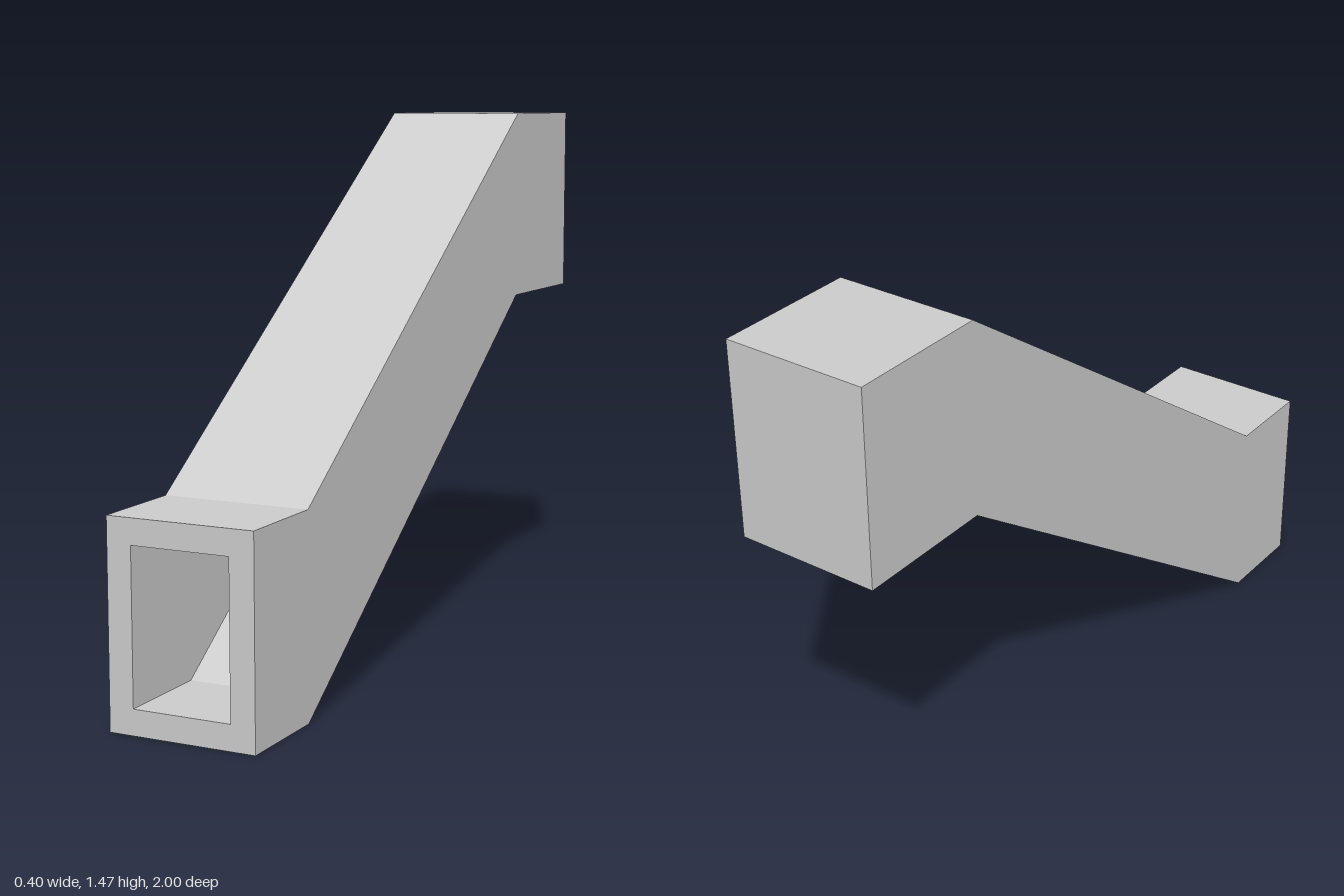
import * as THREE from 'three';

const WALL = 0.0667, HALF_WIDTH = 0.2, HEIGHT = 0.5333, RISE = 0.9333;

// Rectangular cross-section of the duct, counter-clockwise seen from the front
function ring(z, floor, inset) {
  const w = HALF_WIDTH - inset, y0 = floor + inset, y1 = floor + HEIGHT - inset;
  return [[-w, y0, z], [w, y0, z], [w, y1, z], [-w, y1, z]];
}

// Skin consecutive rings with flat quads and close both ends
function loft(rings) {
  const positions = [];
  const quad = (a, b, c, d) => positions.push(...a, ...b, ...c, ...a, ...c, ...d);
  for (let i = 0; i < rings.length - 1; i++) {
    for (let k = 0; k < 4; k++) {
      const n = (k + 1) % 4;
      quad(rings[i][k], rings[i][n], rings[i + 1][n], rings[i + 1][k]);
    }
  }
  const first = rings[0], last = rings[rings.length - 1];
  quad(first[0], first[3], first[2], first[1]);
  quad(...last);
  const geometry = new THREE.BufferGeometry();
  geometry.setAttribute('position', new THREE.Float32BufferAttribute(positions, 3));
  geometry.computeVertexNormals();
  return geometry;
}

export function createModel() {
  const group = new THREE.Group();
  group.name = 'slopedPassage';

  // Path from front to back: [z, floor height]
  const path = [[1, 0], [0.7333, 0], [-0.6, RISE], [-1, RISE]];

  // Outer shell from the closed back to the front, then the hollow back inside
  const outer = path.map(([z, y]) => ring(z, y, 0)).reverse();
  const inner = path.map(([z, y]) => ring(z === -1 ? z + WALL : z, y, WALL));

  const passage = new THREE.Mesh(
    loft([...outer, ...inner]),
    new THREE.MeshStandardMaterial({ color: 0xcccccc, flatShading: true })
  );
  passage.name = 'passageWalls';
  group.add(passage);
  return group;
}
